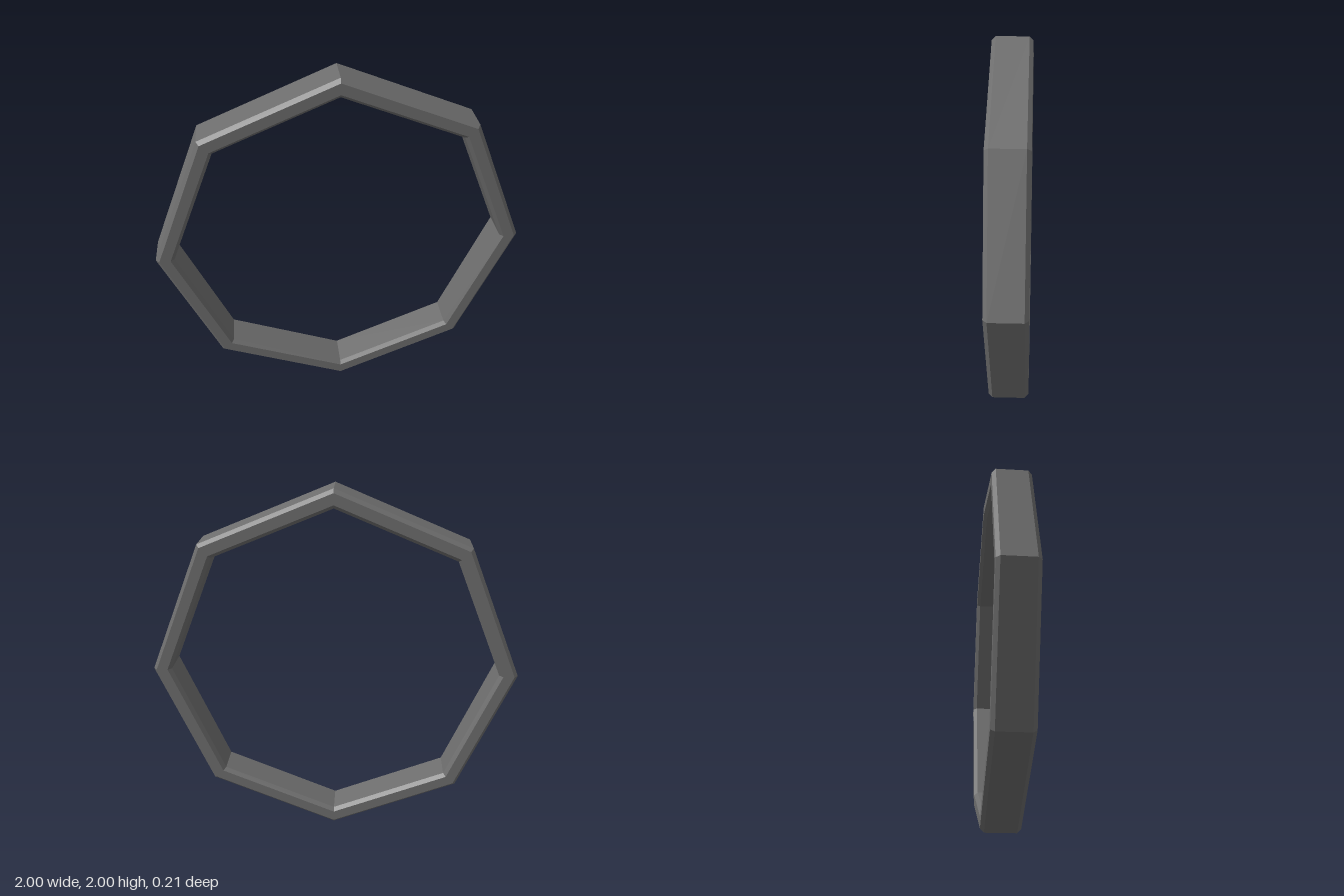
import * as THREE from 'three';

export function createModel() {
  const group = new THREE.Group();
  group.name = 'octagonalRing';

  const outer = 1, inner = 0.9, half = 0.104, bevel = 0.02;

  // Chamfered rectangular cross-section: x is the radius, y the depth
  const profile = [
    [outer, -half + bevel],
    [outer, half - bevel],
    [outer - bevel, half],
    [inner + bevel, half],
    [inner, half - bevel],
    [inner, -half + bevel],
    [inner + bevel, -half],
    [outer - bevel, -half],
    [outer, -half + bevel],
  ].map(([r, d]) => new THREE.Vector2(r, d));

  // Eight-sided ring, stood upright with a corner at the top and bottom
  const geometry = new THREE.LatheGeometry(profile, 8);
  geometry.rotateX(Math.PI / 2);
  geometry.translate(0, outer, 0);

  const material = new THREE.MeshStandardMaterial({ color: 0x6d6d6d, flatShading: true });
  const ring = new THREE.Mesh(geometry, material);
  ring.name = 'ringFrame';
  group.add(ring);

  return group;
}
